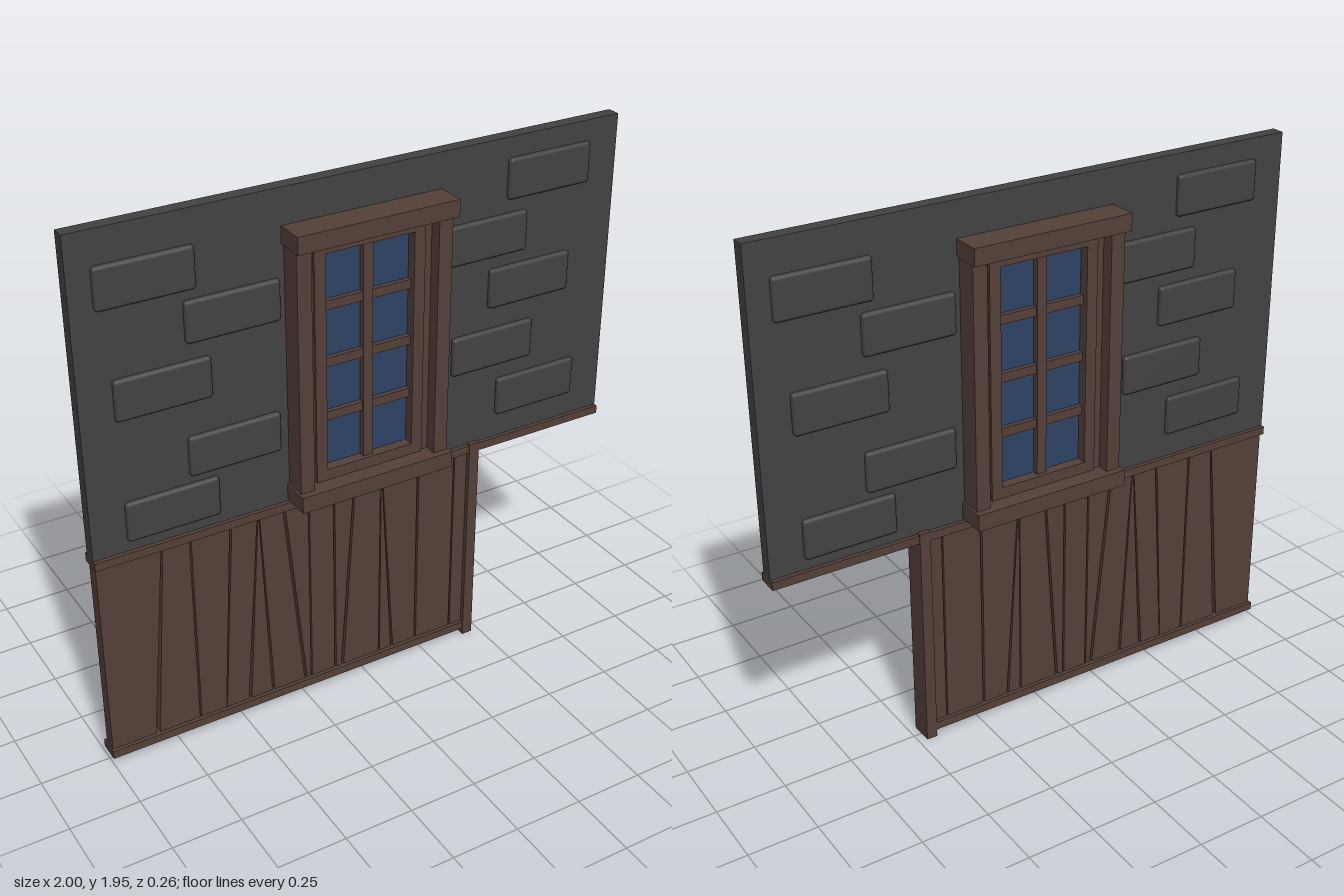
import * as THREE from 'three';
import { RoundedBoxGeometry } from 'three/addons/geometries/RoundedBoxGeometry.js';

export function createModel() {
  const model = new THREE.Group();
  model.name = 'wallWithWindow';

  const stone = new THREE.MeshStandardMaterial({ color: 0x424242 });
  stone.name = 'stone grey';
  const wood = new THREE.MeshStandardMaterial({ color: 0x543f38 });
  wood.name = 'dark wood';
  const glass = new THREE.MeshStandardMaterial({ color: 0x2d4263 });
  glass.name = 'blue glass';

  // Box given by its x and y extents, and half depth in z
  const box = (name, x0, x1, y0, y1, halfZ, material, parent = model) => {
    const mesh = new THREE.Mesh(new THREE.BoxGeometry(x1 - x0, y1 - y0, 2 * halfZ), material);
    mesh.position.set((x0 + x1) / 2, (y0 + y1) / 2, 0);
    mesh.name = name;
    parent.add(mesh);
    return mesh;
  };

  // Upper wall
  box('upperWall', -1, 1, 0.82, 1.95, 0.024, stone);

  // Raised bricks, the back face being the front turned half round
  const bricks = [
    [-0.757, 1.762], [-0.472, 1.583], [-0.72, 1.38], [-0.483, 1.112], [-0.713, 0.94],
    [0.718, 1.805], [0.47, 1.612], [0.657, 1.422], [0.515, 1.197], [0.708, 0.968 + 0.025],
  ];
  const brickGeometry = new RoundedBoxGeometry(0.33, 0.145, 0.04, 2, 0.012);
  for (const side of [1, -1]) {
    for (const [x, y] of bricks) {
      const brick = new THREE.Mesh(brickGeometry, stone);
      brick.name = side > 0 ? 'frontBrick' : 'backBrick';
      brick.position.set(x * side, y, 0.02 * side);
      model.add(brick);
    }
  }

  // Rails and door post
  box('middleRail', -1, 1, 0.8, 0.83, 0.039, wood);
  box('bottomRail', -1, 0.44, 0.025, 0.055, 0.039, wood);
  box('cornerPost', 0.43, 0.47, 0, 0.835, 0.042, wood);

  // Crooked planks between slanted gaps: [top x, bottom x, top width, bottom width]
  const gaps = [
    [-0.762, -0.826, 0.006, 0.016], [-0.661, -0.661, 0.007, 0.007],
    [-0.512, -0.56, 0.008, 0.003], [-0.412, -0.467, 0.003, 0.011],
    [-0.406, -0.372, 0.003, 0.01], [-0.312, -0.24, 0.01, 0.01],
    [-0.216, -0.216, 0.006, 0.006], [-0.117, -0.117, 0.007, 0.007],
    [-0.035, -0.088, 0.008, 0.01], [0.071, 0.068, 0.003, 0.006],
    [0.077, 0.124, 0.003, 0.009], [0.225, 0.225, 0.008, 0.008],
    [0.377, 0.377, 0.006, 0.006],
  ];
  const planks = new THREE.Group();
  planks.name = 'planks';
  model.add(planks);
  const edges = [[-0.995, -0.995, 0, 0], ...gaps, [0.435, 0.435, 0, 0]];
  for (let i = 0; i < edges.length - 1; i++) {
    const [lt, lb, ltw, lbw] = edges[i];
    const [rt, rb, rtw, rbw] = edges[i + 1];
    const shape = new THREE.Shape([
      new THREE.Vector2(lb + lbw / 2, 0.05),
      new THREE.Vector2(rb - rbw / 2, 0.05),
      new THREE.Vector2(rt - rtw / 2, 0.805),
      new THREE.Vector2(lt + ltw / 2, 0.805),
    ]);
    const geometry = new THREE.ExtrudeGeometry(shape, { depth: 0.05, bevelEnabled: false });
    const plank = new THREE.Mesh(geometry, wood);
    plank.name = 'plank';
    plank.position.z = -0.025;
    planks.add(plank);
  }

  // Window, the same on both faces
  const win = new THREE.Group();
  win.name = 'window';
  model.add(win);
  box('lintel', -0.295, 0.295, 1.765, 1.825, 0.13, wood, win);
  box('sill', -0.295, 0.295, 0.835, 0.895, 0.13, wood, win);
  for (const s of [-1, 1]) {
    const upright = (name, a, b, z) =>
      box(name, Math.min(a * s, b * s), Math.max(a * s, b * s), 0.89, 1.77, z, wood, win);
    upright('outerJamb', 0.235, 0.287, 0.105);
    upright('innerJamb', 0.2, 0.24, 0.06);
    upright('sashSide', 0.165, 0.206, 0.07);
  }
  box('sashTop', -0.17, 0.17, 1.72, 1.77, 0.07, wood, win);
  box('sashBottom', -0.17, 0.17, 0.89, 0.935, 0.07, wood, win);

  // Glazing bars
  box('verticalBar', -0.018, 0.018, 0.93, 1.725, 0.055, wood, win);
  for (const y of [1.53, 1.326, 1.127]) {
    box('crossBar', -0.17, 0.17, y - 0.016, y + 0.016, 0.05, wood, win);
  }

  // Glass
  box('glass', -0.17, 0.17, 0.93, 1.725, 0.032, glass, win);

  return model;
}
